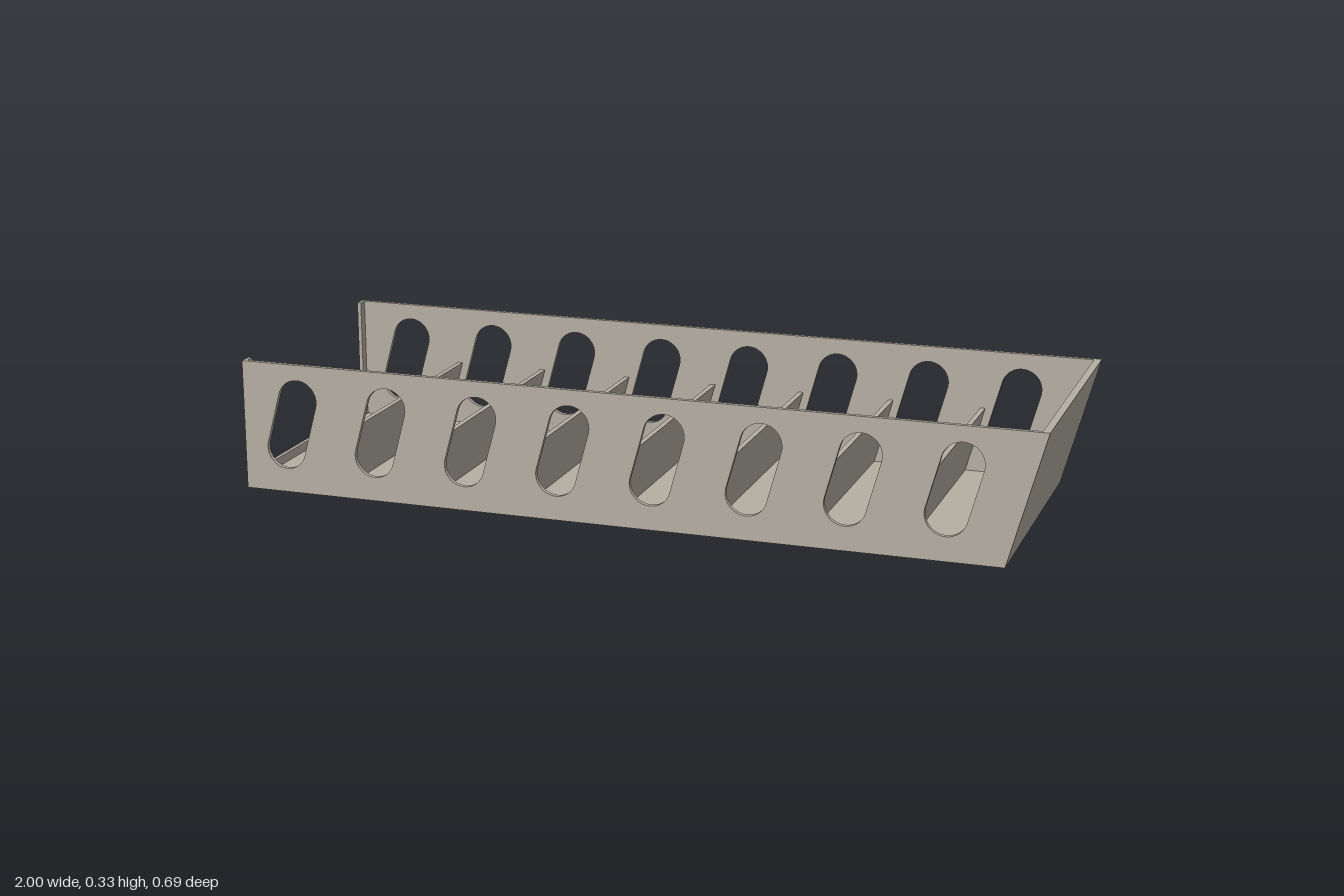
import * as THREE from 'three';

const H = 0.326, HALF = 0.345, WALL = 0.012, FLOOR = 0.012;
const LEAN = 0.09 / H;               // x shift per unit of height
const PITCH = 0.237;
const INNER = HALF - WALL;

const shapeOf = pts => new THREE.Shape(pts.map(p => new THREE.Vector2(...p)));

// Extrude an x/y profile along z between two depths
function slab(shape, z0, z1) {
  const g = new THREE.ExtrudeGeometry(shape, { depth: z1 - z0, bevelEnabled: false, curveSegments: 20 });
  return g.translate(0, 0, z0);
}

// Leaning rounded slot: two half circles joined by straight sides
function slot(x) {
  const r = 0.051, y0 = 0.111, y1 = 0.236;
  const x1 = x + LEAN * (y1 - y0);
  const a = Math.atan(LEAN);
  const p = new THREE.Path();
  p.absarc(x1, y1, r, -a, Math.PI - a, false);
  p.absarc(x, y0, r, Math.PI - a, 2 * Math.PI - a, false);
  p.closePath();
  return p;
}

export function createModel() {
  const group = new THREE.Group();
  const grey = new THREE.MeshStandardMaterial({ color: 0xb5aea2 });
  grey.name = 'warmGrey';
  const add = (name, geometry) => {
    const m = new THREE.Mesh(geometry, grey);
    m.name = name;
    group.add(m);
  };

  // Slotted side walls, front and back
  const side = shapeOf([[-1, 0], [0.91, 0], [1, H], [-1, H]]);
  for (let i = 0; i < 8; i++) side.holes.push(slot(-0.888 + i * PITCH));
  add('frontWall', slab(side, INNER, HALF));
  add('backWall', slab(side, -HALF, -INNER));

  // Floor and leaning end wall in one profile
  const t = 0.018;
  add('floorAndEndWall', slab(shapeOf([
    [-0.99, 0], [0.91, 0], [1, H], [1 - t, H],
    [0.91 - t + LEAN * FLOOR, FLOOR], [-0.99, FLOOR],
  ]), -INNER, INNER));

  // Leaning dividers
  const top = 0.178, dt = 0.013;
  for (let i = 0; i < 7; i++) {
    const x = -0.765 + i * PITCH, dx = LEAN * (top - FLOOR);
    add('divider' + (i + 1), slab(shapeOf([
      [x, FLOOR], [x + dt, FLOOR], [x + dx + dt, top], [x + dx, top],
    ]), -INNER, INNER));
  }

  // Thin lip framing the open end
  const lip = 0.023, sill = 0.035;
  add('openEndSill', new THREE.BoxGeometry(0.01, sill, 2 * INNER).translate(-0.995, sill / 2, 0));
  for (const s of [1, -1]) {
    add(s > 0 ? 'frontLip' : 'backLip', new THREE.BoxGeometry(0.01, H - sill, lip)
      .translate(-0.995, (H + sill) / 2, s * (INNER - lip / 2)));
  }
  return group;
}
